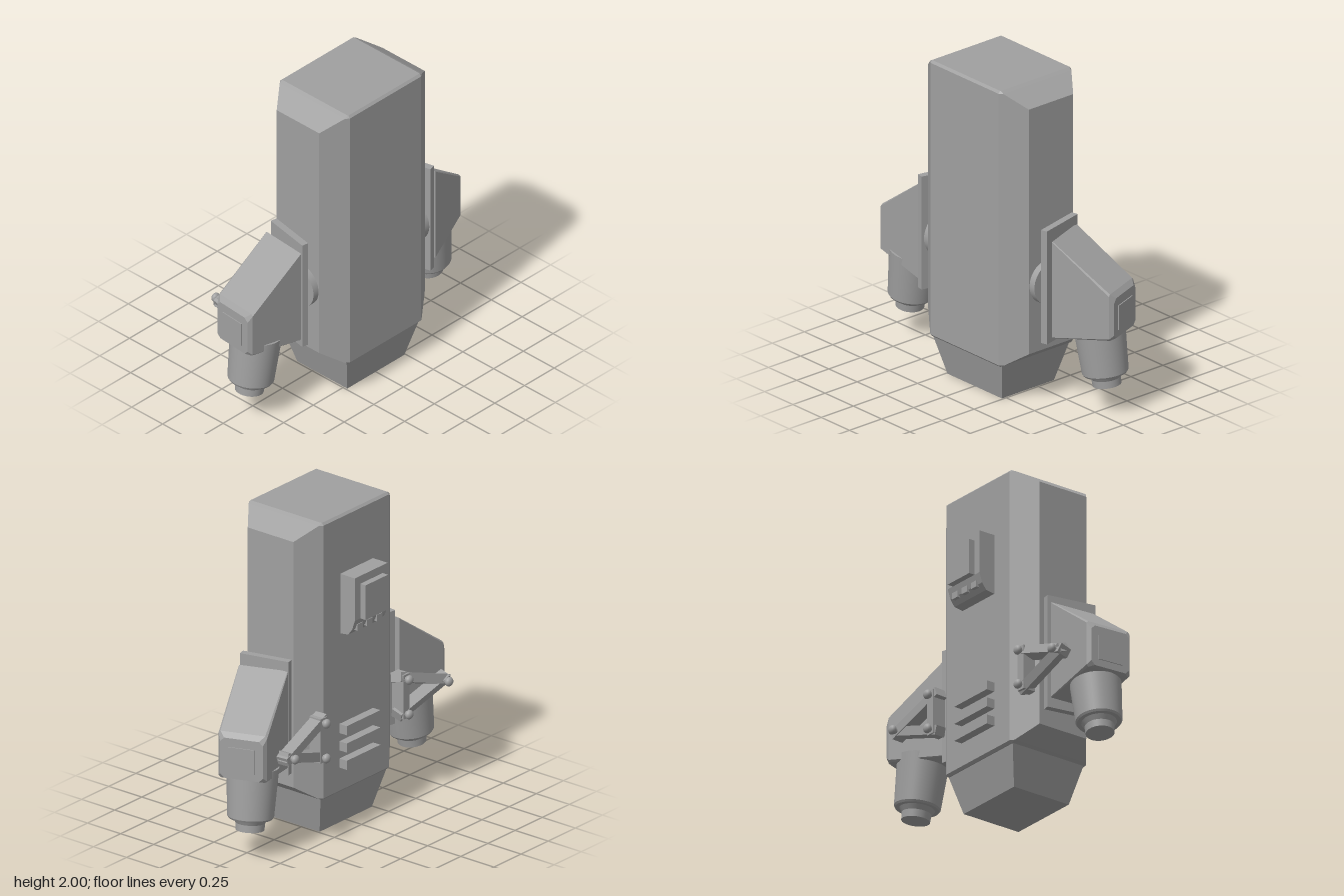
import * as THREE from 'three';

const grey = new THREE.MeshStandardMaterial({ color: 0xa0a0a0 });
grey.name = 'grey';

function add(parent, name, geometry, x = 0, y = 0, z = 0) {
  const mesh = new THREE.Mesh(geometry, grey);
  mesh.name = name;
  mesh.position.set(x, y, z);
  parent.add(mesh);
  return mesh;
}

function group(parent, name, x, y, z, turn = 0) {
  const g = new THREE.Group();
  g.name = name;
  g.position.set(x, y, z);
  g.rotation.y = turn;
  parent.add(g);
  return g;
}

// Closed hard-edged skin over matching convex rings, counter-clockwise seen from the last ring's end
function loft(rings) {
  const pos = [];
  const tri = (a, b, c) => pos.push(...a, ...b, ...c);
  const n = rings[0].length;
  for (let i = 0; i + 1 < rings.length; i++) {
    for (let j = 0; j < n; j++) {
      const k = (j + 1) % n;
      tri(rings[i][j], rings[i][k], rings[i + 1][k]);
      tri(rings[i][j], rings[i + 1][k], rings[i + 1][j]);
    }
  }
  const first = rings[0], last = rings[rings.length - 1];
  for (let j = 1; j + 1 < n; j++) {
    tri(first[0], first[j + 1], first[j]);
    tri(last[0], last[j], last[j + 1]);
  }
  const g = new THREE.BufferGeometry();
  g.setAttribute('position', new THREE.Float32BufferAttribute(pos, 3));
  g.computeVertexNormals();
  return g;
}

// Eight-cornered horizontal ring; the corner cut shrinks as the ring narrows
function bodyRing(y, half, inset = 0) {
  const f = 0.355 - inset, b = -0.21 + inset, flat = 0.3;
  const cut = 0.11 * (half - flat) / 0.145;
  return [[flat, f], [half, f - cut], [half, b + cut], [flat, b],
    [-flat, b], [-half, b + cut], [-half, f - cut], [-flat, f]].map(([x, z]) => [x, y, z]);
}

const rectRing = (y, hx, z0, z1) => [[hx, y, z1], [hx, y, z0], [-hx, y, z0], [-hx, y, z1]];

// Upright ring with trimmed corners, at distance x along an arm
function armRing(x, y0, y1, w, c) {
  return [[y0, -w + c], [y0 + c, -w], [y1 - c, -w], [y1, -w + c],
    [y1, w - c], [y1 - c, w], [y0 + c, w], [y0, w - c]].map(([y, z]) => [x, y, z]);
}

// Swivelling thruster arm, reaching out along its own +x
function buildArm(parent, name, x, z, turn) {
  const arm = group(parent, name, x, 0, z, turn);
  add(arm, 'armHousing', loft([
    armRing(0, 0.475, 1.09, 0.152, 0.004),
    armRing(0.375, 0.53, 0.825, 0.15, 0.012),
    armRing(0.4, 0.54, 0.795, 0.132, 0.025)]));
  add(arm, 'armEndPanel', new THREE.BoxGeometry(0.008, 0.155, 0.165), 0.402, 0.662, 0);

  const thruster = group(arm, 'thruster', 0.23, 0.51, -0.01);
  thruster.rotation.z = 0.14;
  const stages = [
    ['thrusterBarrel', 0.155, 0.138, 0.05, -0.25],
    ['thrusterRim', 0.138, 0.13, -0.25, -0.262],
    ['thrusterCollar', 0.106, 0.088, -0.26, -0.29],
    ['thrusterNozzle', 0.088, 0.085, -0.29, -0.335]];
  for (const [part, r1, r0, top, bottom] of stages) {
    add(thruster, part, new THREE.CylinderGeometry(r1, r0, top - bottom, 40), 0, (top + bottom) / 2, 0);
  }
}

// Straight square bar running a little past both end points
function bar(parent, a, b, over, depth) {
  const d = b.clone().sub(a);
  const m = add(parent, 'linkageBar', new THREE.BoxGeometry(d.length() + over * 2, 0.058, depth));
  m.position.copy(a).add(b).multiplyScalar(0.5);
  m.quaternion.setFromUnitVectors(new THREE.Vector3(1, 0, 0), d.normalize());
}

// Three-bar linkage with bolts
function buildLinkage(parent, name, xIn, zIn, xOut, zOut) {
  const g = group(parent, name, 0, 0, 0);
  const top = new THREE.Vector3(xIn, 0.775, zIn);
  const low = new THREE.Vector3(xIn, 0.555, zIn);
  const out = new THREE.Vector3(xOut, 0.655, zOut);
  bar(g, top, out, 0.045, 0.078);
  bar(g, low, out, 0.04, 0.07);
  bar(g, top, low, 0.03, 0.086);
  for (const p of [top, low, out]) {
    const shank = add(g, 'boltShank', new THREE.CylinderGeometry(0.018, 0.018, 0.07, 12), p.x, p.y, p.z - 0.045);
    shank.rotation.x = Math.PI / 2;
    const head = add(g, 'boltHead', new THREE.SphereGeometry(0.029, 16, 10), p.x, p.y, p.z - 0.064);
    head.scale.z = 0.75;
  }
}

export function createModel() {
  const model = new THREE.Group();
  model.name = 'thrusterPack';

  // Main body with cut corners, and the tapered exhaust below
  add(model, 'body', loft([
    bodyRing(0.24, 0.302, 0.014), bodyRing(0.254, 0.325), bodyRing(0.34, 0.445),
    bodyRing(1.9, 0.445), bodyRing(1.986, 0.325), bodyRing(2, 0.302, 0.014)]));
  add(model, 'lowerExhaust', loft([rectRing(0, 0.24, -0.13, 0.275), rectRing(0.25, 0.307, -0.192, 0.335)]));

  // Back control box with a curved lower edge, cover plate and teeth
  const profile = [[1.25, -0.2], [1.26, -0.27], [1.3, -0.3], [1.36, -0.32], [1.63, -0.32], [1.63, -0.2]];
  add(model, 'backBox', loft([-0.155, 0.147].map((x) => profile.map(([y, z]) => [x, y, z]))));
  add(model, 'backCover', new THREE.BoxGeometry(0.206, 0.22, 0.05), -0.006, 1.47, -0.335);
  for (const x of [-0.09, 0, 0.09]) {
    add(model, 'backTooth', new THREE.BoxGeometry(0.05, 0.04, 0.035), x, 1.305, -0.295);
  }

  // Vent slats
  for (let i = 0; i < 3; i++) {
    add(model, 'ventSlat', new THREE.BoxGeometry(0.31, 0.058, 0.065), 0, 0.43 + i * 0.11, -0.233);
  }

  // Hubs and mounting plates on both sides
  for (const s of [-1, 1]) {
    const hub = add(model, 'sideHub', new THREE.CylinderGeometry(0.135, 0.135, 0.07, 40), s * 0.453, 0.77, 0.105);
    hub.rotation.z = Math.PI / 2;
  }
  const plate = new THREE.BoxGeometry(0.042, 0.72, 0.315);
  add(model, 'rightMountPlate', plate, -0.514, 0.79, 0.07).rotation.y = -0.18;
  add(model, 'leftMountPlate', plate, 0.504, 0.79, 0.06).rotation.y = 0.24;

  // Arms are swivelled by different amounts
  buildArm(model, 'rightArm', -0.553, 0.06, Math.PI - 0.077);
  buildArm(model, 'leftArm', 0.537, 0.05, 0.36);
  buildLinkage(model, 'rightLinkage', -0.435, -0.19, -0.78, -0.208);
  buildLinkage(model, 'leftLinkage', 0.375, -0.23, 0.685, -0.248);

  return model;
}
